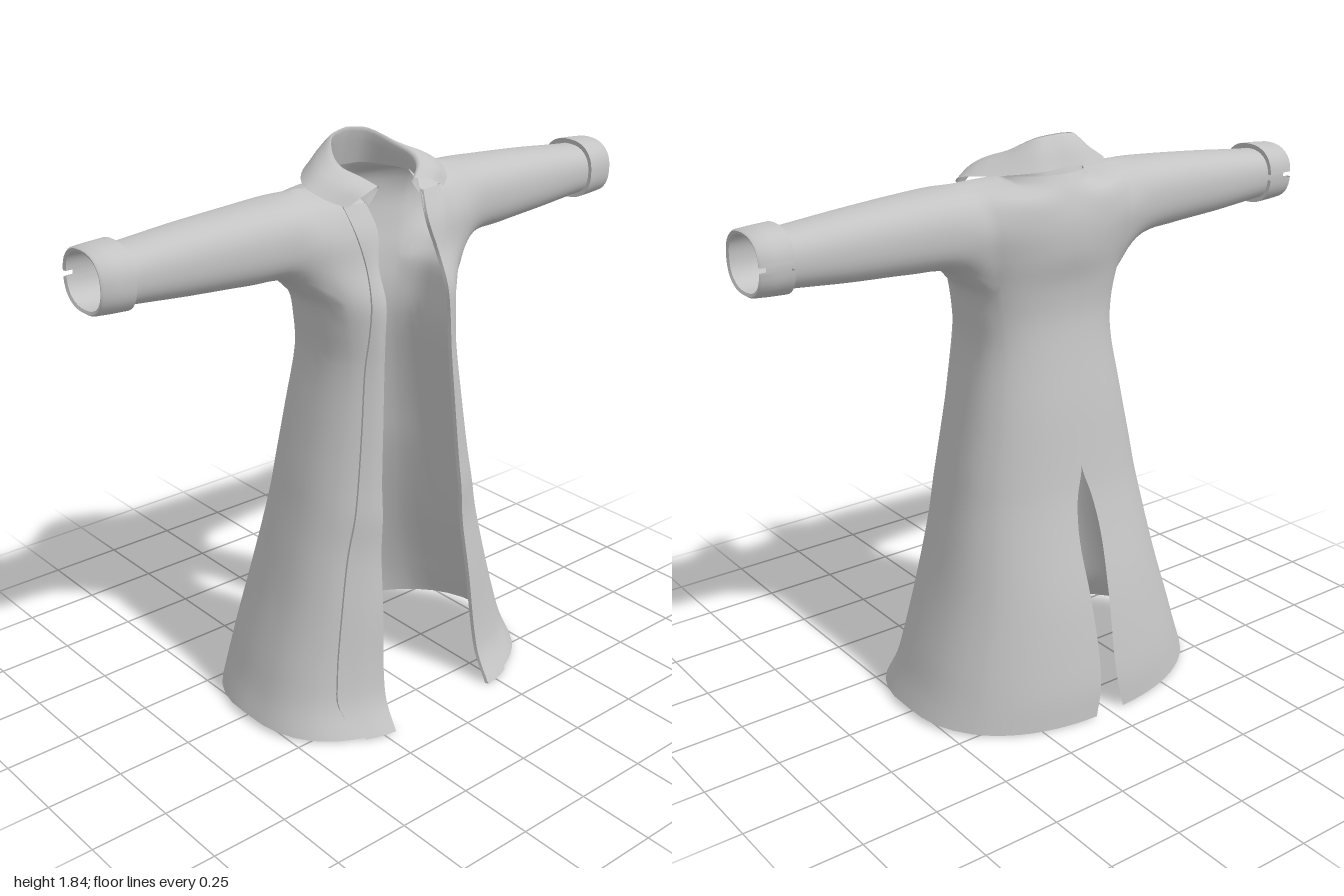
import * as THREE from 'three';
import { mergeVertices, toCreasedNormals } from 'three/addons/utils/BufferGeometryUtils.js';

const V = (x, y, z) => new THREE.Vector3(x, y, z);
const lerp = THREE.MathUtils.lerp;
const SUB = 4;

// Half-coat measurements at each height, from hem to underarm
const Y     = [0.025, 0.1, 0.2, 0.4, 0.6, 0.72, 0.82, 1.0, 1.2, 1.3, 1.4];
const WIDE  = [0.53, 0.50, 0.47, 0.41, 0.365, 0.34, 0.322, 0.285, 0.25, 0.257, 0.28];
const FRONT = [0.375, 0.325, 0.305, 0.287, 0.262, 0.26, 0.25, 0.24, 0.23, 0.228, 0.222];
const BACK  = [0.39, 0.385, 0.37, 0.33, 0.275, 0.245, 0.228, 0.203, 0.17, 0.16, 0.167];
const EDGE  = [0.205, 0.203, 0.198, 0.185, 0.172, 0.165, 0.16, 0.148, 0.135, 0.13, 0.122];
const SLIT  = [0.055, 0.036, 0.03, 0.036, 0.043, 0.028, 0, 0, 0, 0, 0];
const PANEL = [0.31, 0.355, 0.345, 0.31, 0.27, 0.245, 0.228, 0.205, 0.183, 0.172, 0.165];
// Chest and shoulder rows: front edge, armhole front, armhole back, back centre
const UPPER = [
  [V(0.118, 1.5, 0.182), V(0.26, 1.5, 0.15), V(0.255, 1.5, -0.125), V(0, 1.5, -0.19)],
  [V(0.098, 1.6, 0.155), V(0.267, 1.6, 0.145), V(0.267, 1.6, -0.135), V(0, 1.6, -0.192)],
  [V(0.112, 1.68, 0.115), V(0.273, 1.685, 0.095), V(0.273, 1.685, -0.095), V(0, 1.68, -0.17)],
];
const LAPEL = [0.155, 0.175, 0.19];
const A = 6, B = 14, N = 26, UNDERARM = (Y.length - 1) * SUB;
const THETA = 0.61, NF = 2.6, NB = 2.25;
const NECK = V(0.145, 1.722, 0.02), SHOULDER = V(0.28, 1.725, 0), NAPE = V(0, 1.735, -0.14);

// Point on the coat's plan outline at height row k
function outline(k, th) {
  const n = th > 0 ? NF : NB, c = Math.max(0, Math.cos(th)), s = Math.abs(Math.sin(th));
  const edgeSin = Math.sin(Math.acos((EDGE[k] / WIDE[k]) ** (NF / 2)));
  const z = th > 0 ? FRONT[k] * (s / edgeSin) ** (2 / n) : -BACK[k] * s ** (2 / n);
  const y = Y[k] - (k === 0 ? 0.018 * Math.abs(z) / 0.39 : 0);
  return V(WIDE[k] * c ** (2 / n), y, z);
}
const angleAt = (k, x, n) => Math.acos(Math.min(1, (x / WIDE[k]) ** (n / 2)));

// Smooth column through its knots, SUB rows for each knot
function column(knots, rows) {
  const curve = new THREE.CatmullRomCurve3(knots), out = [];
  for (let r = 0; r <= rows; r++) {
    const p = curve.getPoint(r / SUB / (knots.length - 1));
    p.x = Math.max(0, p.x);
    out.push(p);
  }
  return out;
}

function bodyColumn(i) {
  const knots = Y.map((_, k) => {
    if (i <= A) return outline(k, lerp(angleAt(k, EDGE[k], NF), THETA, i / A));
    if (i <= B) return outline(k, lerp(THETA, -THETA, (i - A) / (B - A)));
    return outline(k, lerp(-THETA, -angleAt(k, SLIT[k], NB), (i - B) / (N - B)));
  });
  if (i > A && i < B) {
    knots.push(V(0.36, 1.47, lerp(0.1, -0.1, (i - A) / (B - A))));
    return column(knots, UNDERARM);
  }
  const s = i <= A ? i / A : (i - B) / (N - B);
  for (const [fe, fa, ba, bc] of UPPER) {
    if (i <= A) knots.push(fe.clone().lerp(fa, s));
    else {
      const p = ba.clone().lerp(bc, s);
      p.z = lerp(bc.z, ba.z, (1 - s) ** 2);
      knots.push(p);
    }
  }
  // Front and back meet on the shoulder seam, the rest of the back ends at the neck
  if (i <= A) knots.push(NECK.clone().lerp(SHOULDER, s));
  else if (i - B <= A) knots.push(NECK.clone().lerp(SHOULDER, 1 - (i - B) / A));
  else {
    const q = (i - B - A) / (N - B - A) * Math.PI / 2;
    knots.push(V(NECK.x * Math.cos(q), lerp(NECK.y, NAPE.y, Math.sin(q)), lerp(NECK.z, NAPE.z, Math.sin(q))));
  }
  return column(knots, (knots.length - 1) * SUB);
}

// Rounded-square sleeve section at x, in direction (c, s)
function sleevePoint(x, cy, ry, cz, rz, c, s) {
  const n = 2.4, r = (Math.abs(c) ** n + Math.abs(s) ** n) ** (-1 / n);
  return V(x, cy + ry * r * s, cz + rz * r * c);
}
const SLEEVE = [
  [0.36, 1.592, 0.124, 0.004, 0.13], [0.5, 1.596, 0.113, 0.005, 0.119], [0.7, 1.595, 0.1, 0.001, 0.105],
  [0.9, 1.594, 0.083, 0, 0.092], [0.975, 1.594, 0.081, 0, 0.089],
];

// Mesh of column sheets, mirrored to both sides
function sheetMesh(name, sheets, material, crease) {
  const pos = [];
  const quad = (a, b, c, d) => {
    for (const p of [a, b, c, a, c, d]) pos.push(p.x, p.y, p.z);
    for (const p of [a, c, b, a, d, c]) pos.push(-p.x, p.y, p.z);
  };
  for (const cols of sheets) {
    for (let i = 0; i + 1 < cols.length; i++) {
      const rows = Math.min(cols[i].length, cols[i + 1].length);
      for (let r = 0; r + 1 < rows; r++) quad(cols[i][r], cols[i + 1][r], cols[i + 1][r + 1], cols[i][r + 1]);
    }
  }
  let geo = new THREE.BufferGeometry();
  geo.setAttribute('position', new THREE.Float32BufferAttribute(pos, 3));
  geo = mergeVertices(geo, 1e-4);
  geo.computeVertexNormals();
  if (crease) geo = toCreasedNormals(geo, crease);
  const mesh = new THREE.Mesh(geo, material);
  mesh.name = name;
  return mesh;
}

export function createModel() {
  const cloth = new THREE.MeshStandardMaterial({ color: 0xc4c4c4, side: THREE.DoubleSide });
  cloth.name = 'grey cloth';
  const coat = new THREE.Group();
  coat.name = 'long coat';

  // Body, with sleeves growing from the armhole ring
  const cols = [];
  for (let i = 0; i <= N; i++) cols.push(bodyColumn(i));
  const ring = [];
  for (let i = A; i <= B; i++) ring.push(cols[i][UNDERARM]);
  for (let r = UNDERARM + 1; r < cols[B].length; r++) ring.push(cols[B][r]);
  for (let r = cols[A].length - 2; r >= UNDERARM; r--) ring.push(cols[A][r]);
  const sleeve = ring.map((p) => {
    const a = Math.atan2((p.y - 1.59) / 0.13, p.z / 0.13);
    const knots = [p, ...SLEEVE.map((q) => sleevePoint(...q, Math.cos(a), Math.sin(a)))];
    return column(knots, (knots.length - 1) * SUB);
  });
  coat.add(sheetMesh('body and sleeves', [cols, sleeve], cloth));

  // Raised front facing and lapel
  const facing = [];
  for (const [f, lift] of [[0, -0.002], [0, 0.01], [0.33, 0.012], [0.67, 0.012], [1, 0.01], [1, -0.004]]) {
    const knots = Y.map((_, k) => outline(k, angleAt(k, lerp(EDGE[k], PANEL[k], f), NF)));
    UPPER.forEach(([fe, fa], k) => {
      const s = f * (LAPEL[k] - fe.x) / (fa.x - fe.x);
      knots.push(fe.clone().lerp(fa, s));
    });
    knots.forEach((p) => { p.z += lift; p.x += lift * 0.3; });
    facing.push(column(knots, (knots.length - 1) * SUB));
  }
  coat.add(sheetMesh('front facings', [facing], cloth, 0.7));

  // Turned-down collar: stand, fold and fall
  const stand = [V(0, 1.725, -0.135), V(0.08, 1.725, -0.115), V(0.13, 1.72, -0.04), V(0.145, 1.715, 0.03), V(0.125, 1.7, 0.09), V(0.1, 1.67, 0.125)];
  const fold = [V(0, 1.85, -0.1), V(0.07, 1.84, -0.08), V(0.122, 1.8, -0.015), V(0.138, 1.775, 0.045), V(0.11, 1.752, 0.1), V(0.065, 1.72, 0.128)];
  const fall = [V(0, 1.757, -0.148), V(0.1, 1.752, -0.143), V(0.195, 1.742, -0.075), V(0.262, 1.73, 0.03), V(0.235, 1.7, 0.1), V(0.19, 1.68, 0.135)];
  const belly = fold.map((p, i) => p.clone().lerp(fall[i], 0.5).add(V(0, 0.012, i > 3 ? 0.012 : 0)));
  const lines = [stand, fold, belly, fall].map((l) => new THREE.CatmullRomCurve3(l));
  const collar = [];
  for (let i = 0; i <= 20; i++) collar.push(column(lines.map((l) => l.getPoint(i / 20)), 3 * SUB));
  coat.add(sheetMesh('collar', [collar], cloth));

  // Cuffs, split at the back
  const profile = [[0.9, 0.96], [0.896, 1.15], [0.95, 1.12], [0.994, 1.08], [1.0, 1.03], [0.996, 0.93], [0.9, 0.93]];
  const cuff = [];
  for (let i = 0; i <= 40; i++) {
    const a = -Math.PI + 0.1 + (i / 40) * (Math.PI * 2 - 0.2);
    cuff.push(profile.map(([x, k]) => sleevePoint(x, 1.596, 0.086 * k, 0, 0.094 * k, Math.cos(a), Math.sin(a))));
  }
  coat.add(sheetMesh('cuffs', [cuff], cloth, 0.7));
  return coat;
}
